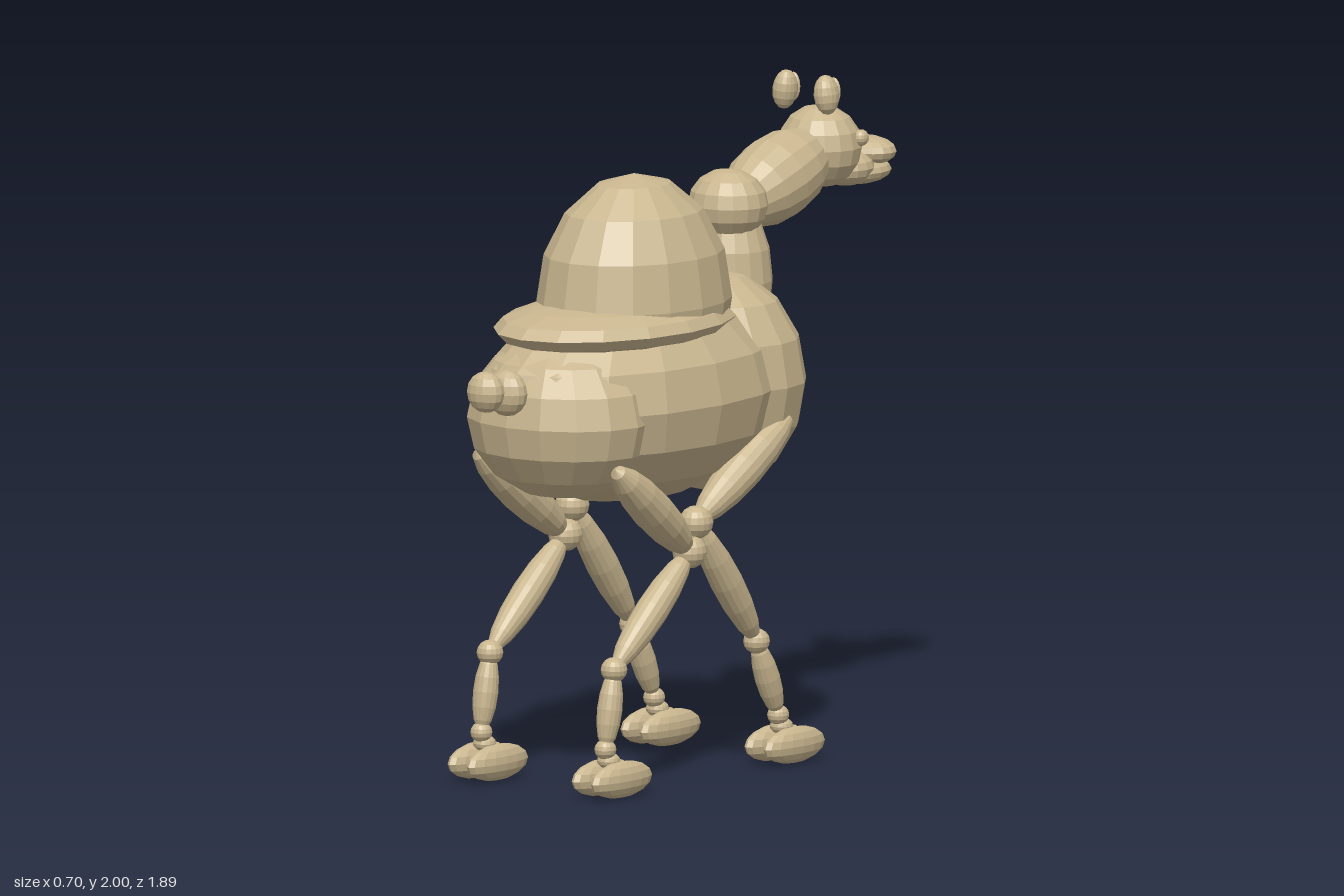
import * as THREE from 'three';

const sand = new THREE.MeshStandardMaterial({ color: 0xc9b68f, flatShading: true });
sand.name = 'sand';
const ball = new THREE.SphereGeometry(1, 16, 8);

export function createModel() {
  const model = new THREE.Group();
  model.name = 'camel';

  // Faceted ellipsoid at a position with three radii
  function ellipsoid(name, pos, radii, parent = model) {
    const mesh = new THREE.Mesh(ball, sand);
    mesh.name = name;
    mesh.position.set(...pos);
    mesh.scale.set(...radii);
    parent.add(mesh);
    return mesh;
  }

  // Spindle whose poles lie at two points
  function spindle(name, from, to, radius, parent = model) {
    const a = new THREE.Vector3(...from), b = new THREE.Vector3(...to);
    const dir = b.clone().sub(a);
    const mid = a.add(b).multiplyScalar(0.5);
    const mesh = ellipsoid(name, mid.toArray(), [radius, dir.length() / 2, radius], parent);
    mesh.quaternion.setFromUnitVectors(new THREE.Vector3(0, 1, 0), dir.normalize());
    return mesh;
  }

  // Trunk, saddle blanket and hump
  ellipsoid('belly', [0, 1.14, 0.22], [0.35, 0.32, 0.58]);
  ellipsoid('chest', [0, 1.14, -0.13], [0.31, 0.34, 0.275]);
  ellipsoid('rump', [0, 1.11, 0.55], [0.3, 0.245, 0.255]);
  ellipsoid('saddleBlanket', [0, 1.365, 0.3], [0.3, 0.08, 0.435]);
  ellipsoid('hump', [0, 1.42, 0.21], [0.265, 0.38, 0.325]);

  // Tail
  ellipsoid('tailBase', [0, 1.215, 0.8], [0.07, 0.07, 0.05]);
  ellipsoid('tailTip', [0, 1.23, 0.897], [0.062, 0.062, 0.048]);

  // Neck
  ellipsoid('neckBase', [0, 1.42, -0.24], [0.125, 0.25, 0.122]);
  ellipsoid('neckJoint', [0, 1.65, -0.225], [0.125, 0.107, 0.115]);
  spindle('upperNeck', [0, 1.625, -0.24], [0, 1.775, -0.65], 0.126);

  // Head
  ellipsoid('head', [0, 1.77, -0.65], [0.13, 0.125, 0.122]);
  ellipsoid('muzzle', [0, 1.69, -0.77], [0.085, 0.055, 0.09]);
  ellipsoid('upperLip', [0, 1.73, -0.865], [0.1, 0.044, 0.076]);
  ellipsoid('lowerJaw', [0, 1.673, -0.835], [0.085, 0.04, 0.107]);

  for (const s of [-1, 1]) {
    const side = s > 0 ? 'left' : 'right';
    ellipsoid(side + 'Eye', [s * 0.118, 1.8, -0.7], [0.022, 0.025, 0.025]);
    const ear = ellipsoid(side + 'Ear', [s * 0.08, 1.94, -0.585], [0.037, 0.06, 0.04]);
    ear.rotation.z = s * 0.12;
    ellipsoid(side + 'InnerEar', [s * 0.078, 1.945, -0.622], [0.024, 0.043, 0.012]);

    // Legs as [z, y] joints: body, knee, hock, ankle, foot
    const legs = {
      HindLeg: [[0.62, 0.99], [0.24, 0.69], [0.59, 0.38], [0.63, 0.145], [0.6, 0.055]],
      ForeLeg: [[-0.19, 1.05], [0.21, 0.775], [-0.07, 0.38], [-0.17, 0.145], [-0.2, 0.055]],
    };
    for (const [name, [hip, knee, hock, ankle, foot]] of Object.entries(legs)) {
      const leg = new THREE.Group();
      leg.name = side + name;
      model.add(leg);
      const x = s * 0.24;
      const at = ([z, y], px = x) => [px, y, z];
      spindle('upperLeg', at(hip, s * 0.27), at(knee), 0.062, leg);
      ellipsoid('knee', at(knee), [0.052, 0.05, 0.052], leg);
      spindle('lowerLeg', at(knee), at(hock), 0.049, leg);
      ellipsoid('hock', at(hock), [0.04, 0.038, 0.04], leg);
      spindle('shin', at(hock), at(ankle), 0.038, leg);
      ellipsoid('ankle', at(ankle), [0.033, 0.031, 0.033], leg);
      ellipsoid('pastern', [x, 0.11, (ankle[0] + foot[0]) / 2], [0.035, 0.025, 0.035], leg);
      for (const dx of [-0.037, 0.037])
        ellipsoid('toe', at(foot, x + dx), [0.04, 0.055, 0.134], leg);
    }
  }
  return model;
}
